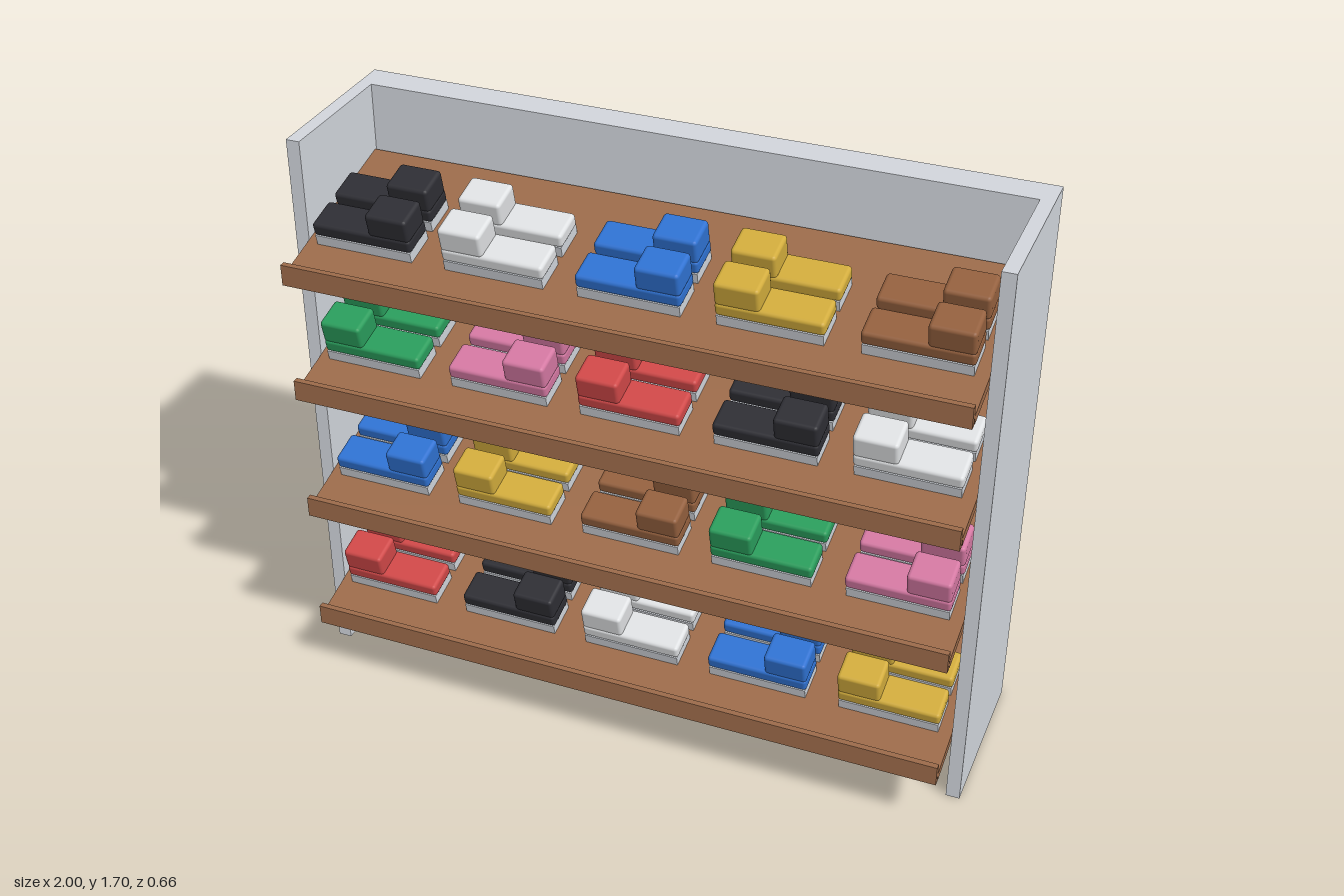
import * as THREE from 'three';
import { RoundedBoxGeometry } from 'three/addons/geometries/RoundedBoxGeometry.js';

function material(name, color) {
  const m = new THREE.MeshStandardMaterial({ color });
  m.name = name;
  return m;
}

function add(parent, name, geometry, mat, x, y, z) {
  const mesh = new THREE.Mesh(geometry, mat);
  mesh.name = name;
  mesh.position.set(x, y, z);
  parent.add(mesh);
  return mesh;
}

export function createModel() {
  const model = new THREE.Group();
  model.name = 'shoeDisplay';

  const grey = material('cabinetGrey', 0xd2d6dc);
  const wood = material('shelfWood', 0x9c6b4a);
  const shoeColors = [
    material('red', 0xd04848),
    material('black', 0x2e2e34),
    material('white', 0xe0e2e4),
    material('blue', 0x2f72d2),
    material('yellow', 0xd2ac3c),
    wood,
    material('green', 0x2a9d5c),
    material('pink', 0xd478a2),
  ];
  shoeColors[5] = material('brown', 0x94603e);

  // Cabinet: thick back and two side panels, open at front, top and bottom
  add(model, 'backPanel', new THREE.BoxGeometry(1.92, 1.7, 0.095), grey, 0, 0.85, -0.2825);
  const side = new THREE.BoxGeometry(0.04, 1.7, 0.5);
  for (const s of [-1, 1]) {
    add(model, s > 0 ? 'leftPanel' : 'rightPanel', side, grey, s * 0.98, 0.85, -0.08);
  }

  // Shared shelf and shoe shapes
  const plank = new THREE.BoxGeometry(1.92, 0.03, 0.551);
  const lip = new THREE.BoxGeometry(1.92, 0.062, 0.018);
  const sole = new THREE.BoxGeometry(0.29, 0.032, 0.104);
  const body = new RoundedBoxGeometry(0.298, 0.042, 0.104, 2, 0.011);
  const collar = new RoundedBoxGeometry(0.125, 0.074, 0.1, 2, 0.011);

  // A shoe: flat sole, long body and a raised collar at one end
  function makeShoe(mat, end) {
    const shoe = new THREE.Group();
    shoe.name = 'shoe';
    add(shoe, 'sole', sole, grey, 0, 0.016, 0);
    add(shoe, 'shoeBody', body, mat, 0, 0.051, 0);
    add(shoe, 'shoeCollar', collar, mat, end * 0.0865, 0.101, 0);
    return shoe;
  }

  // Four shelves sloping down to the front, each with five pairs of shoes
  [0.173, 0.572, 0.973, 1.342].forEach((bottom, row) => {
    const shelf = new THREE.Group();
    shelf.name = 'shelf';
    add(shelf, 'shelfLip', lip, wood, 0, bottom + 0.031, 0.317);

    const slope = new THREE.Group();
    slope.name = 'slopedShelf';
    slope.position.set(0, bottom + 0.093, 0.045);
    slope.rotation.x = 0.242;
    add(slope, 'plank', plank, wood, 0, -0.015, -0.0055);
    for (let i = 0; i < 5; i++) {
      const mat = shoeColors[(row * 3 + i) % 8];
      const end = (row + i) % 2 ? 1 : -1;
      for (const z of [-0.046, 0.0865]) {
        const shoe = makeShoe(mat, end);
        shoe.position.set(-0.783 + i * 0.39, 0, z);
        slope.add(shoe);
      }
    }
    shelf.add(slope);
    model.add(shelf);
  });

  return model;
}
